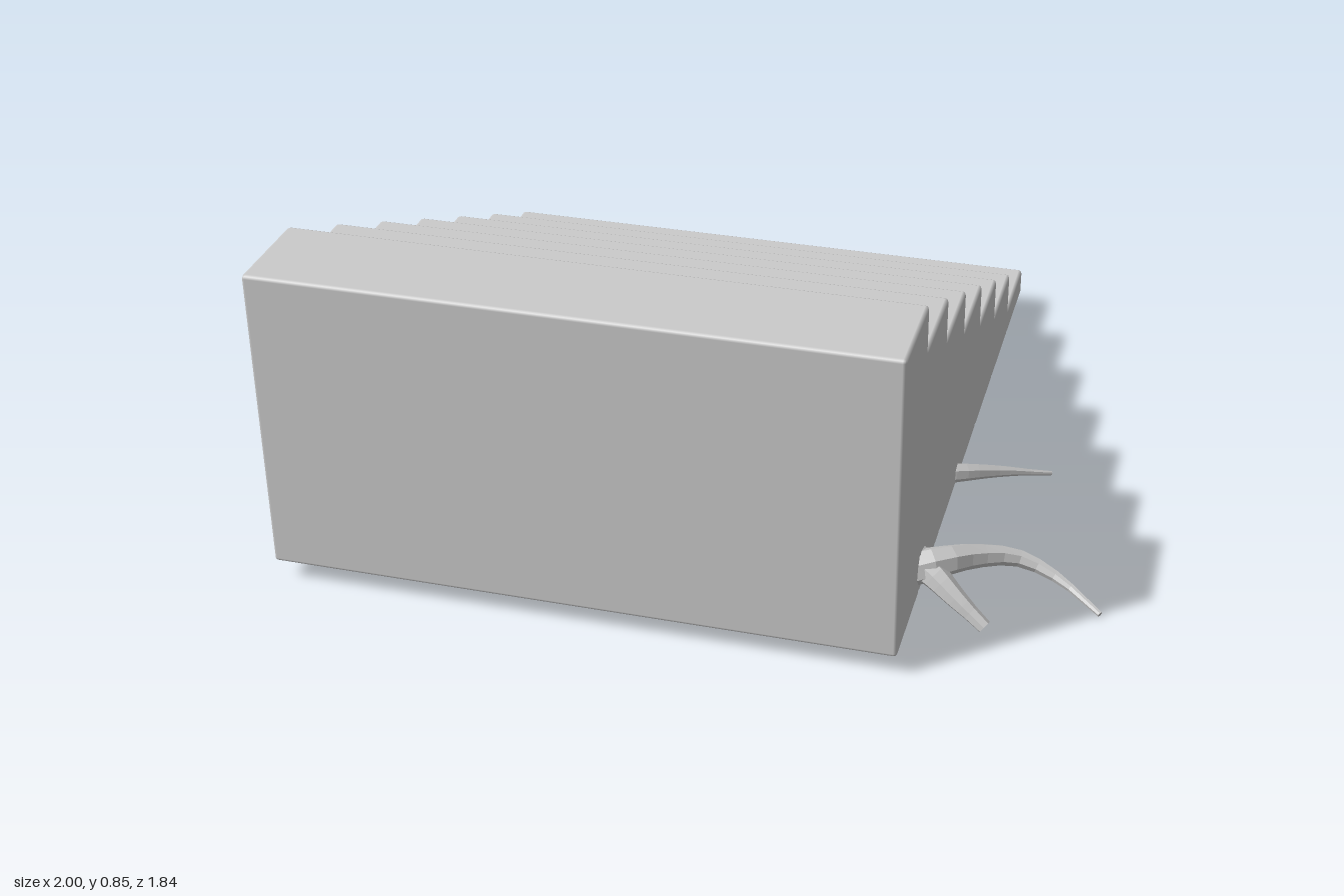
import * as THREE from 'three';
import { RoundedBoxGeometry } from 'three/addons/geometries/RoundedBoxGeometry.js';

const stone = new THREE.MeshStandardMaterial({ color: 0xcccccc });
const bark = new THREE.MeshStandardMaterial({ color: 0xcccccc, flatShading: true });

// Tapered tube through the points, from radius r0 to r1, with a flat cap at the tip
function taperedRoot(name, points, r0, r1) {
  const curve = new THREE.CatmullRomCurve3(points.map((p) => new THREE.Vector3(...p)));
  const rings = 12, sides = 7;
  const geo = new THREE.TubeGeometry(curve, rings, 1, sides);
  const pos = geo.attributes.position;
  const v = new THREE.Vector3();
  for (let i = 0; i <= rings; i++) {
    const centre = curve.getPointAt(i / rings);
    const tip = curve.getPointAt(1);
    const radius = i === rings ? 0 : r0 + (r1 - r0) * (i / (rings - 1));
    for (let j = 0; j <= sides; j++) {
      const k = i * (sides + 1) + j;
      v.fromBufferAttribute(pos, k).sub(centre).multiplyScalar(radius);
      v.add(i >= rings - 1 ? tip : centre);
      pos.setXYZ(k, v.x, v.y, v.z);
    }
  }
  geo.computeVertexNormals();
  const mesh = new THREE.Mesh(geo, bark);
  mesh.name = name;
  return mesh;
}

export function createModel() {
  const model = new THREE.Group();
  model.name = 'staircase';

  // Seven bevelled blocks, rising towards the front
  const steps = new THREE.Group();
  steps.name = 'steps';
  const count = 7, left = 0.565, right = -1, base = 0.06, halfDepth = 0.92;
  const depth = (2 * halfDepth) / count;
  for (let i = 0; i < count; i++) {
    const height = 0.077 + i * 0.12;
    const step = new THREE.Mesh(new RoundedBoxGeometry(left - right, height, depth, 1, 0.009), stone);
    step.position.set((left + right) / 2, base + height / 2, -halfDepth + (i + 0.5) * depth);
    step.name = `step${i + 1}`;
    steps.add(step);
  }
  model.add(steps);

  // Roots creeping out of the left side and from underneath
  const roots = new THREE.Group();
  roots.name = 'roots';
  roots.add(
    taperedRoot('longRoot', [[0.5, 0.11, 0.66], [0.59, 0.135, 0.63], [0.69, 0.115, 0.54], [0.78, 0.09, 0.49],
      [0.88, 0.055, 0.5], [0.995, 0.012, 0.565]], 0.048, 0.007),
    taperedRoot('shortRoot', [[0.5, 0.14, 0.6], [0.58, 0.125, 0.64], [0.66, 0.075, 0.675], [0.735, 0.023, 0.7]], 0.048, 0.018),
    taperedRoot('middleRoot', [[0.47, 0.1, 0.2], [0.57, 0.085, 0.14], [0.67, 0.055, 0.06], [0.79, 0.015, -0.025]], 0.034, 0.006),
    taperedRoot('edgeRootTip', [[0.44, 0.1, 0.2], [0.49, 0.06, 0.16], [0.535, 0.02, 0.12]], 0.03, 0.017),
    taperedRoot('innerRootTip', [[0.13, 0.085, 0.49], [0.05, 0.055, 0.55], [-0.04, 0.015, 0.61]], 0.03, 0.007),
    taperedRoot('outerRootTip', [[-0.13, 0.1, 0.69], [-0.22, 0.06, 0.72], [-0.305, 0.025, 0.745]], 0.034, 0.018),
  );
  model.add(roots);
  return model;
}
